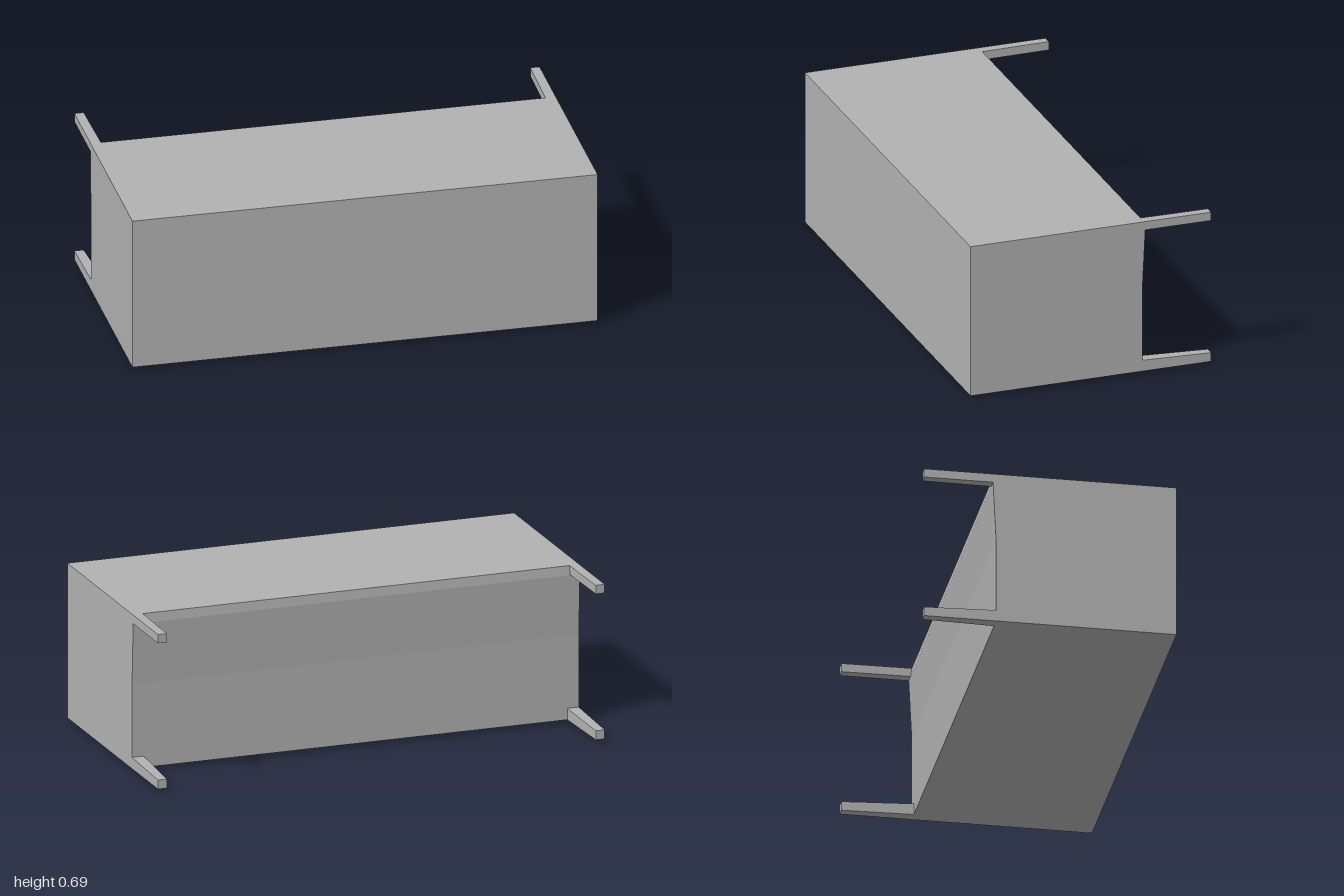
import * as THREE from 'three';

// Solid lofted between two four-cornered sections listed in matching order
function loft(a, b, material, name) {
  const p = [...a, ...b].flat();
  const idx = [];
  const quad = (i, j, k, l) => idx.push(i, j, k, i, k, l);
  quad(3, 2, 1, 0);
  quad(4, 5, 6, 7);
  for (let i = 0; i < 4; i++) {
    const n = (i + 1) % 4;
    quad(i, n, n + 4, i + 4);
  }
  const indexed = new THREE.BufferGeometry();
  indexed.setAttribute('position', new THREE.Float32BufferAttribute(p, 3));
  indexed.setIndex(idx);
  const g = indexed.toNonIndexed();
  g.computeVertexNormals();
  const mesh = new THREE.Mesh(g, material);
  mesh.name = name;
  return mesh;
}

// Rectangle facing +z
const rectZ = (x0, x1, y0, y1, z) => [[x0, y0, z], [x1, y0, z], [x1, y1, z], [x0, y1, z]];
// Rectangle facing +y
const rectY = (x0, x1, z0, z1, y) => [[x0, y, z1], [x1, y, z1], [x1, y, z0], [x0, y, z0]];

export function createModel() {
  const model = new THREE.Group();
  model.name = 'box with legs';
  const grey = new THREE.MeshStandardMaterial({ color: 0xb2b2b2, flatShading: true });
  grey.name = 'plain grey';

  // Main block: side profile as (-z, y), extruded across the width
  const profile = new THREE.Shape([
    [-0.537, 0.012], [0.23, 0.012], [0.23, 0.38], [0.243, 0.65], [0.238, 0.69], [-0.537, 0.69],
  ].map(([u, y]) => new THREE.Vector2(u, y)));
  const bodyGeo = new THREE.ExtrudeGeometry(profile, { depth: 2, bevelEnabled: false });
  bodyGeo.translate(0, 0, -1).rotateY(Math.PI / 2);
  const body = new THREE.Mesh(bodyGeo, grey);
  body.name = 'body';
  model.add(body);

  // Shallow raised panel under the block
  model.add(loft(
    rectY(-0.86, 0.86, 0.1, 0.39, 0),
    rectY(-1, 1, -0.21, 0.537, 0.012), grey, 'undersidePanel'));

  // Four tapered legs reaching backwards
  for (const side of [-1, 1]) {
    const span = (w) => (side > 0 ? [1 - w, 1] : [-1, -1 + w]);
    const name = side > 0 ? 'left' : 'right';
    model.add(loft(
      rectZ(...span(0.04), 0.652, 0.69, -0.537),
      rectZ(...span(0.045), 0.652, 0.69, -0.22), grey, name + 'UpperLeg'));
    model.add(loft(
      rectZ(...span(0.04), 0.012, 0.052, -0.537),
      rectZ(...span(0.052), 0.012, 0.062, -0.22), grey, name + 'LowerLeg'));
  }
  return model;
}
